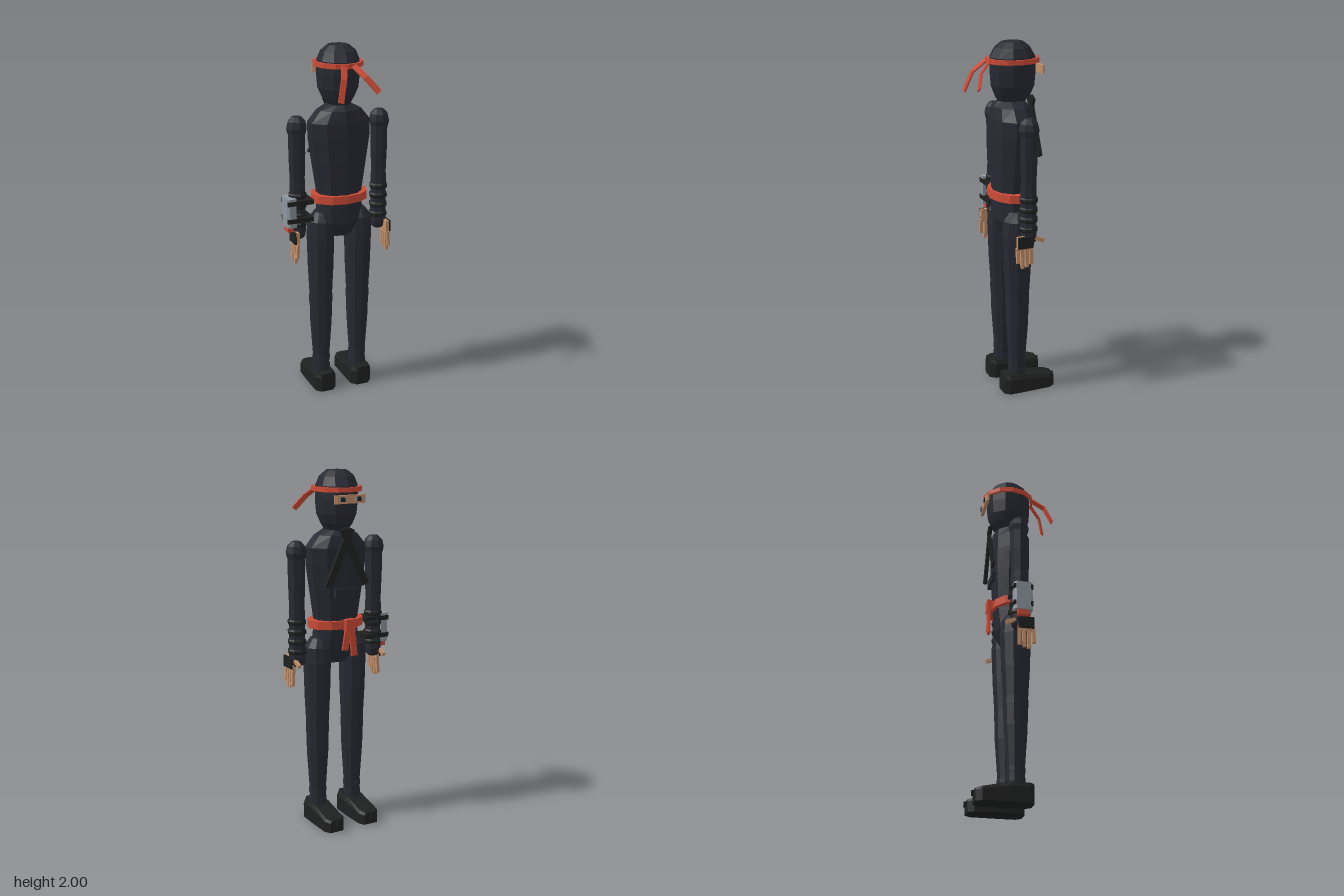
import * as THREE from 'three';

const mat = (name, color) => {
  const m = new THREE.MeshStandardMaterial({ color });
  m.name = name;
  return m;
};

export function createModel() {
  const navy = mat('navy cloth', 0x282932);
  const black = mat('black leather', 0x1f2120);
  const red = mat('red sash', 0xcc4b37);
  const skin = mat('skin', 0xc08e6a);
  const grey = mat('grey metal', 0x8d959d);
  const model = new THREE.Group();
  model.name = 'maskedFighter';
  const CX = 0.012; // the figure's own axis

  const add = (name, geo, material, parent = model) => {
    const flat = geo.index ? geo.toNonIndexed() : geo;
    flat.computeVertexNormals();
    const mesh = new THREE.Mesh(flat, material);
    mesh.name = name;
    parent.add(mesh);
    return mesh;
  };
  const box = (name, x, y, z, w, h, d, m, parent) =>
    add(name, new THREE.BoxGeometry(w, h, d).translate(x, y, z), m, parent);

  // Stack of n-sided rings, listed from the top: [y, rx, rz, centreZ]
  const loft = (name, x, rings, n, m, parent) => {
    const k = rings.length - 1;
    const g = new THREE.CylinderGeometry(1, 1, 1, n, k);
    const p = g.attributes.position;
    for (let i = 0; i < p.count; i++) {
      const [y, rx, rz = rx, cz = 0] = rings[Math.round((0.5 - p.getY(i)) * k)];
      p.setXYZ(i, x + p.getX(i) * rx, y, cz + p.getZ(i) * rz);
    }
    return add(name, g, m, parent);
  };

  // Box stretched from a to b
  const bar = (name, a, b, w, d, m, parent) => {
    const A = new THREE.Vector3(...a), B = new THREE.Vector3(...b);
    const dir = B.clone().sub(A);
    const g = new THREE.BoxGeometry(w, dir.length(), d);
    g.applyQuaternion(new THREE.Quaternion().setFromUnitVectors(new THREE.Vector3(0, -1, 0), dir.normalize()));
    const c = A.add(B).multiplyScalar(0.5);
    return add(name, g.translate(c.x, c.y, c.z), m, parent);
  };

  // Flat elliptical band around the body axis
  const band = (name, y, h, rx, rz, cz, t, n, m) => {
    const ring = (s, f) => Array.from({ length: n }, (_, i) => {
      const a = (i / n) * Math.PI * 2;
      return new THREE.Vector2(Math.sin(a) * (rx - f), Math.cos(a) * (rz - f));
    });
    const shape = new THREE.Shape(ring(1, 0));
    shape.holes.push(new THREE.Path(ring(1, t)));
    const g = new THREE.ExtrudeGeometry(shape, { depth: h, bevelEnabled: false });
    return add(name, g.rotateX(-Math.PI / 2).translate(CX, y - h / 2, cz), m);
  };

  // Hooded head
  loft('hood', CX, [
    [2.0, 0.058, 0.06, -0.018], [1.97, 0.095, 0.1, -0.018], [1.92, 0.115, 0.13, -0.018],
    [1.85, 0.117, 0.131, -0.018], [1.77, 0.11, 0.125, -0.018], [1.72, 0.088, 0.105, -0.018],
    [1.675, 0.06, 0.075, -0.012],
  ], 10, navy);
  band('headband', 1.903, 0.026, 0.134, 0.15, -0.018, 0.014, 12, red);
  const tails = [
    [[-0.012, 1.905, 0.125], [-0.042, 1.845, 0.19], [-0.075, 1.735, 0.228]],
    [[0.042, 1.905, 0.125], [0.085, 1.85, 0.19], [0.144, 1.775, 0.225]],
  ];
  for (const pts of tails)
    for (let i = 0; i < 2; i++) bar('headbandTail', pts[i], pts[i + 1], 0.032, 0.008, red);

  // Eye opening with chamfered ends
  const face = new THREE.Shape([[-0.095, -0.004], [-0.08, -0.01], [0.08, -0.01], [0.095, -0.004],
    [0.095, 0.004], [0.08, 0.01], [-0.08, 0.01], [-0.095, 0.004]].map(([x, y]) => new THREE.Vector2(x, y)));
  add('eyeOpening', new THREE.ExtrudeGeometry(face, { depth: 0.045, bevelEnabled: false })
    .rotateX(-Math.PI / 2).translate(CX, 1.832, -0.159), skin);
  for (const s of [-1, 1]) {
    box('eye', CX + s * 0.05, 1.855, -0.169, 0.042, 0.024, 0.006, grey);
    box('pupil', CX + s * 0.05, 1.855, -0.172, 0.024, 0.024, 0.006, black);
  }

  // Torso and hips in one tapering body
  loft('torso', CX, [
    [1.685, 0.065, 0.075, -0.008], [1.655, 0.125, 0.1, -0.008], [1.59, 0.18, 0.114, -0.008],
    [1.5, 0.178, 0.115, -0.008], [1.36, 0.157, 0.113, -0.008], [1.2, 0.132, 0.104, -0.006],
    [1.12, 0.132, 0.102, -0.004], [1.02, 0.14, 0.094, 0], [0.94, 0.068, 0.058, 0],
  ], 10, navy);
  for (const s of [-1, 1])
    bar('chestStrap', [CX - s * 0.025, 1.695, -0.13], [CX + s * 0.118, 1.385, -0.13], 0.042, 0.016 + s * 0.002, black);
  box('chestFlap', CX, 1.345, -0.112, 0.13, 0.05, 0.026, navy);

  // Belt, knot and hanging ends
  band('belt', 1.165, 0.046, 0.166, 0.12, -0.004, 0.045, 12, red);
  box('beltKnot', CX - 0.02, 1.165, -0.13, 0.06, 0.066, 0.032, red);
  bar('beltEnd', [CX - 0.008, 1.15, -0.132], [CX + 0.012, 1.025, -0.132], 0.036, 0.012, red);
  bar('beltEnd', [CX - 0.028, 1.15, -0.136], [CX - 0.045, 0.99, -0.136], 0.036, 0.012, red);

  // Foot outline, extruded upward and shaped by a height rule
  const footPart = (name, x, y0, heightAt, inset, parent) => {
    const half = [[0.035, -0.092], [0.062, -0.062], [0.064, 0.03], [0.062, 0.185], [0.042, 0.218]];
    const pts = [...half, ...half.map(([a, b]) => [-a, b]).reverse()];
    const g = new THREE.ExtrudeGeometry(new THREE.Shape(pts.map(p => new THREE.Vector2(...p))),
      { depth: 1, steps: 2, bevelEnabled: false }).rotateX(-Math.PI / 2);
    const p = g.attributes.position;
    for (let i = 0; i < p.count; i++) {
      const t = p.getY(i), z = p.getZ(i), k = t > 0.9 ? inset : 1;
      const level = t > 0.9 ? 1 : t > 0.4 ? 0.7 : 0;
      p.setXYZ(i, x + p.getX(i) * k, y0 + level * heightAt(z), z);
    }
    return add(name, g, black, parent);
  };

  for (const s of [-1, 1]) {
    const leg = new THREE.Group();
    leg.name = s > 0 ? 'leftLeg' : 'rightLeg';
    model.add(leg);
    const lx = CX + s * 0.114;
    loft('legCloth', lx, [
      [1.085, 0.035, 0.045], [1.035, 0.073, 0.08], [0.95, 0.077, 0.088], [0.75, 0.072, 0.08],
      [0.58, 0.064, 0.069], [0.53, 0.064, 0.068], [0.42, 0.062, 0.066], [0.2, 0.048, 0.05], [0.08, 0.046, 0.048],
    ], 10, navy, leg);
    loft('kneeBand', lx, [[0.582, 0.067, 0.071], [0.535, 0.067, 0.07]], 10, navy, leg);
    for (const y of [0.185, 0.13])
      loft('ankleWrap', lx, [[y + 0.012, 0.051, 0.053], [y - 0.012, 0.051, 0.053]], 10, navy, leg);
    const fx = CX + s * 0.112;
    footPart('sole', fx, 0, () => 0.026, 1, leg);
    footPart('shoe', fx, 0.026, z => (z > -0.035 ? 0.084 : 0.084 - (-0.035 - z) * 0.22), 0.8, leg);
    box('toeSplit', fx, 0.05, -0.19, 0.008, 0.03, 0.085, black, leg);

    const arm = new THREE.Group();
    arm.name = s > 0 ? 'leftArm' : 'rightArm';
    model.add(arm);
    const ax = CX + s * 0.245, az = -0.01;
    const at = rings => rings.map(([y, r]) => [y, r, r, az]);
    loft('shoulderCap', ax, at([[1.63, 0.026], [1.605, 0.05], [1.57, 0.059], [1.54, 0.053]]), 8, navy, arm);
    loft('sleeve', ax, at([
      [1.56, 0.049], [1.42, 0.049], [1.28, 0.044], [1.24, 0.046], [1.1, 0.046], [0.985, 0.048], [0.955, 0.042], [0.94, 0.025],
    ]), 8, navy, arm);
    for (const y of [1.19, 1.135, 1.08, 1.025])
      loft('forearmWrap', ax, at([[y + 0.015, 0.046], [y + 0.007, 0.053], [y - 0.007, 0.053], [y - 0.015, 0.046]]), 8, black, arm);

    // Hand with glove plate, four fingers and a thumb
    const hx = CX + s * 0.272;
    box('palm', hx, 0.955, 0.022, 0.018, 0.075, 0.09, skin, arm);
    box('glovePlate', hx + s * 0.013, 0.96, 0.022, 0.012, 0.065, 0.088, black, arm);
    [0.1, 0.112, 0.118, 0.085].forEach((len, i) => {
      const z = -0.014 + i * 0.026;
      bar('finger', [hx, 0.93, z], [hx + s * 0.006, 0.93 - len, z], 0.016, 0.019, skin, arm);
    });
    bar('thumb', [hx, 0.985, -0.02], [hx, 0.955, -0.088], 0.018, 0.02, skin, arm);
  }

  // Gadget strapped to the outside of the right forearm
  const gadget = new THREE.Group();
  gadget.name = 'forearmGadget';
  model.add(gadget);
  const plan = new THREE.Shape([[-0.313, -0.038], [-0.3, -0.052], [-0.262, -0.052], [-0.262, 0.052],
    [-0.3, 0.052], [-0.313, 0.038]].map(p => new THREE.Vector2(...p)));
  add('gadgetCase', new THREE.ExtrudeGeometry(plan, { depth: 0.165, bevelEnabled: false })
    .rotateX(-Math.PI / 2).translate(0, 1.022, 0), grey, gadget);
  for (const y of [1.16, 1.06])
    box('gadgetStrap', -0.236, y, 0, 0.15, 0.026, 0.108, black, gadget);
  box('gadgetLight', -0.288, 1.008, 0, 0.036, 0.032, 0.06, red, gadget);

  return model;
}
